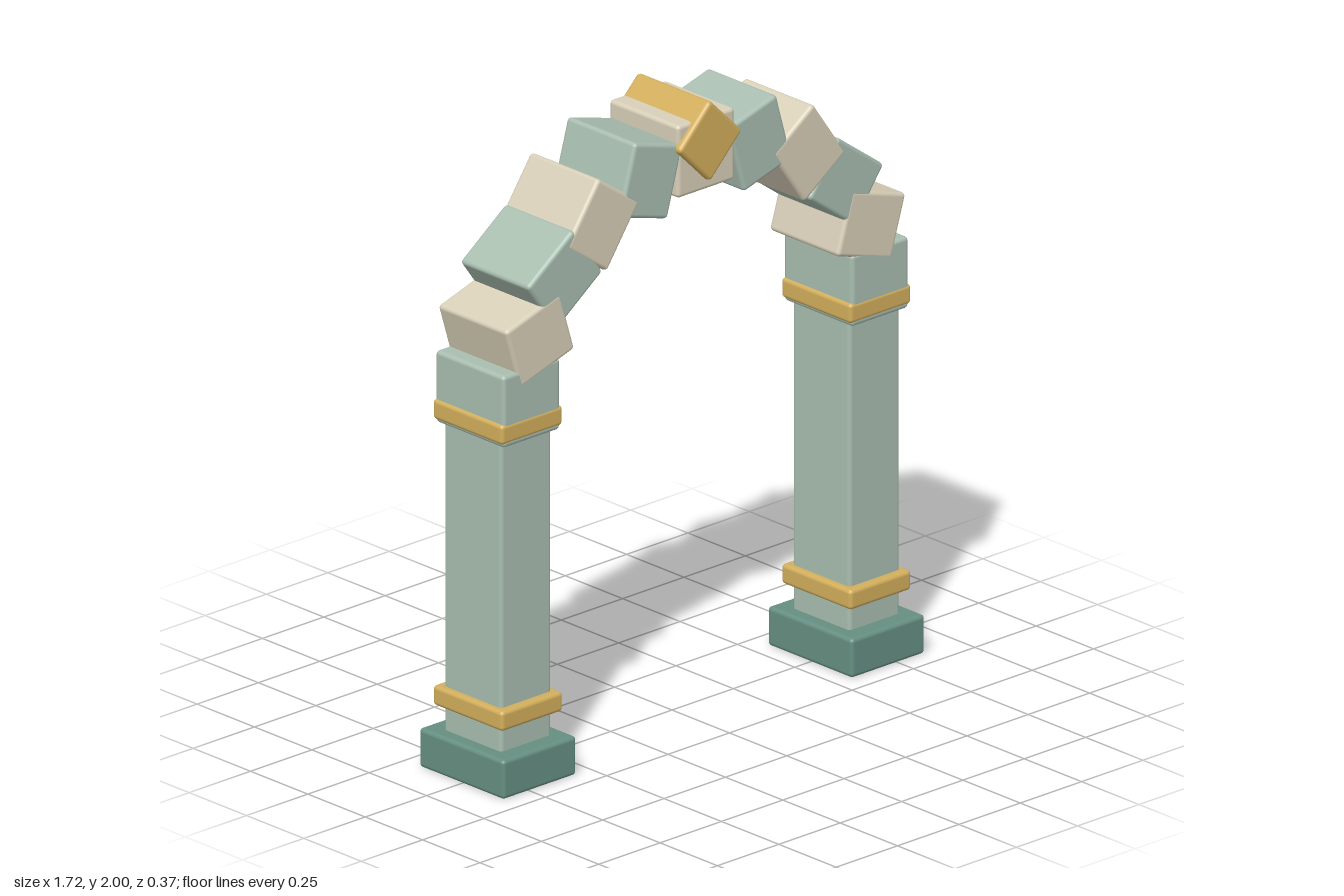
import * as THREE from 'three';
import { RoundedBoxGeometry } from 'three/addons/geometries/RoundedBoxGeometry.js';

const paint = (color) => new THREE.MeshStandardMaterial({ color });

export function createModel() {
  const model = new THREE.Group();
  const sage = paint(0xa9beb0), cream = paint(0xd8cfb8), gold = paint(0xd2ae5c), green = paint(0x668f82);

  // Softly bevelled block with its centre at (x, y, z), turned about z
  function block(parent, name, material, [w, h, d], [x, y, z], degrees = 0) {
    const mesh = new THREE.Mesh(new RoundedBoxGeometry(w, h, d, 3, 0.013), material);
    mesh.name = name;
    mesh.position.set(x, y, z);
    mesh.rotation.z = THREE.MathUtils.degToRad(degrees);
    parent.add(mesh);
  }

  // Arch stones of the left half, from the springing upwards: x, y, tilt
  const stones = [
    [0.675, 1.414, -17],
    [0.573, 1.58, -36],
    [0.42, 1.714, -55],
    [0.222, 1.8, -74],
  ];

  for (const side of [1, -1]) {
    const prefix = side > 0 ? 'left' : 'right';

    // Pillar
    const pillar = new THREE.Group();
    pillar.name = prefix + 'Pillar';
    pillar.position.x = side * 0.71;
    model.add(pillar);
    block(pillar, 'plinth', green, [0.3, 0.125, 0.37], [0, 0.0625, 0]);
    block(pillar, 'shaft', sage, [0.207, 1.06, 0.25], [0, 0.64, 0]);
    block(pillar, 'lowerBand', gold, [0.25, 0.064, 0.305], [0, 0.233, 0]);
    block(pillar, 'capital', sage, [0.232, 0.23, 0.3], [0, 1.222, 0]);
    block(pillar, 'upperBand', gold, [0.25, 0.064, 0.305], [0, 1.151, 0]);

    // Half of the arch, cream and sage stones in turn
    const arch = new THREE.Group();
    arch.name = prefix + 'Arch';
    model.add(arch);
    stones.forEach(([x, y, tilt], i) => {
      const isCream = i % 2 === 0;
      block(arch, 'archStone', isCream ? cream : sage,
        [0.232, 0.205, isCream ? 0.302 : 0.3], [side * x, y, 0], side * tilt);
    });
  }

  // Crown of the arch
  block(model, 'keystone', cream, [0.232, 0.232, 0.302], [0, 1.83, 0]);
  block(model, 'diamondOrnament', gold, [0.185, 0.185, 0.322], [0, 1.874, 0.01], 45);

  return model;
}
